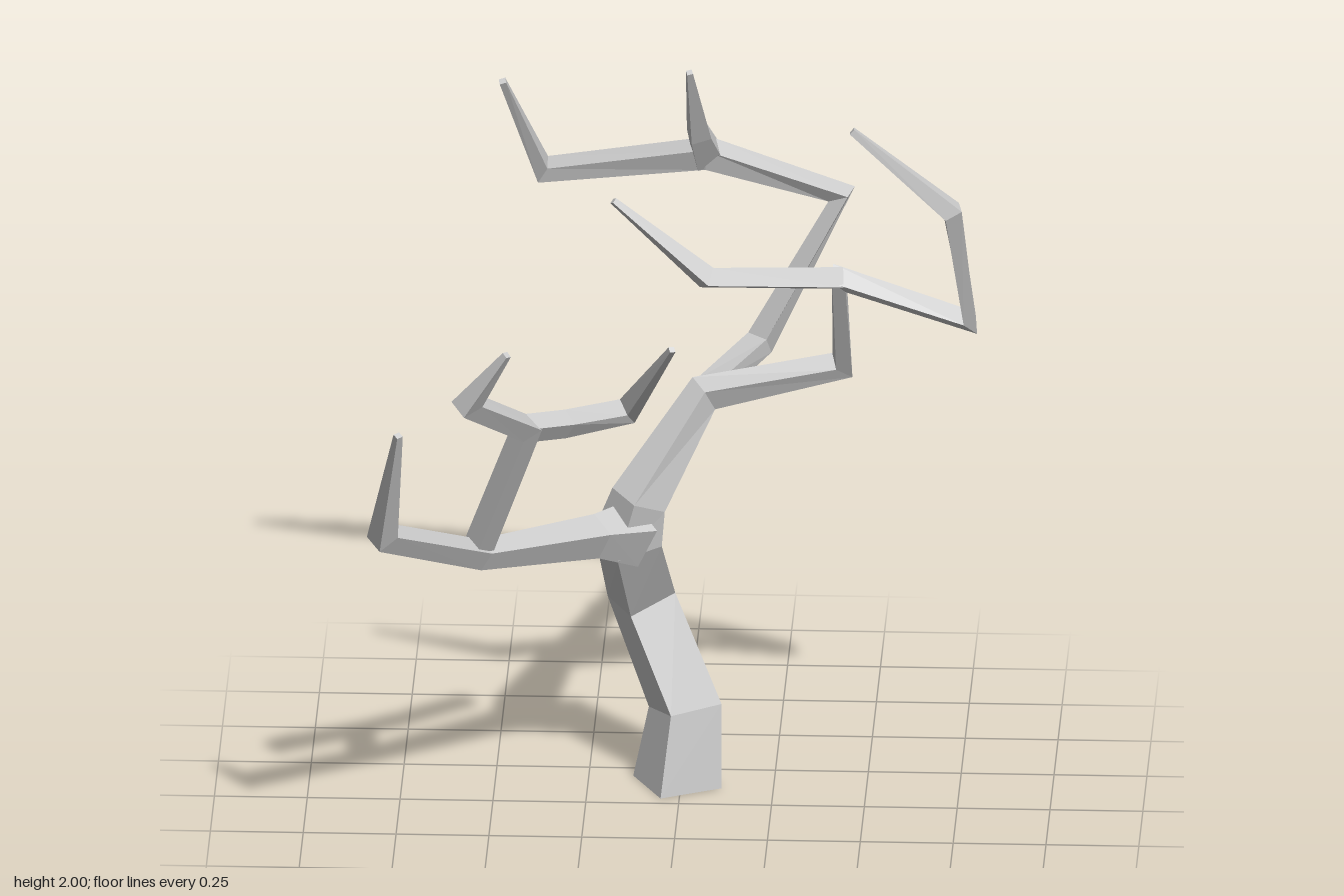
import * as THREE from 'three';

const material = new THREE.MeshStandardMaterial({ color: 0xcccccc, flatShading: true });
const V = (x, y, z) => new THREE.Vector3(x, y, z);

// Sweeps a tapering square along nodes [x, y, z, width].
// The frame {tangent, u} is carried from ring to ring so faces do not twist.
function sweep(nodes, frame) {
  const points = nodes.map(n => V(n[0], n[1], n[2]));
  const last = points.length - 1;
  const positions = [], index = [], frames = [];
  let { tangent, u } = frame;
  points.forEach((p, i) => {
    const before = i > 0 ? p.clone().sub(points[i - 1]).normalize() : V(0, 0, 0);
    const after = i < last ? points[i + 1].clone().sub(p).normalize() : V(0, 0, 0);
    const t = i === 0 && frame.fixed ? tangent.clone() : before.add(after).normalize();
    const turn = new THREE.Quaternion().setFromUnitVectors(tangent, t);
    u = u.clone().applyQuaternion(turn);
    tangent = t;
    frames.push({ tangent, u });
    const v = t.clone().cross(u), h = nodes[i][3] / 2;
    for (const [a, b] of [[h, h], [-h, h], [-h, -h], [h, -h]]) {
      positions.push(...p.clone().addScaledVector(u, a).addScaledVector(v, b).toArray());
    }
    if (i < last) {
      for (let k = 0; k < 4; k++) {
        const a = i * 4 + k, b = i * 4 + (k + 1) % 4;
        index.push(a, b, b + 4, a, b + 4, a + 4);
      }
    }
  });
  // end caps
  const e = last * 4;
  index.push(0, 2, 1, 0, 3, 2, e, e + 1, e + 2, e, e + 2, e + 3);
  const indexed = new THREE.BufferGeometry();
  indexed.setAttribute('position', new THREE.Float32BufferAttribute(positions, 3));
  indexed.setIndex(index);
  const geometry = indexed.toNonIndexed();
  geometry.computeVertexNormals();
  return { geometry, frames };
}

export function createModel() {
  const tree = new THREE.Group();
  tree.name = 'bareTree';

  // Adds one limb and returns the frame at each of its nodes, for forks.
  function limb(name, frame, nodes) {
    const { geometry, frames } = sweep(nodes, frame);
    const mesh = new THREE.Mesh(geometry, material);
    mesh.name = name;
    tree.add(mesh);
    return frames;
  }

  // Trunk, running on into the rising bough and its left arm
  const trunk = limb('trunkAndLeftBough',
    { tangent: V(0, 1, 0), u: V(0.894, 0, -0.447), fixed: true }, [
      [-0.01, 0, -0.155, 0.18],
      [0.01, 0.215, -0.175, 0.15],
      [-0.11, 0.515, -0.225, 0.14],
      [-0.14, 0.74, -0.07, 0.135],
      [-0.11, 0.86, -0.05, 0.11],
      [0.06, 1.12, -0.18, 0.075],
      [0.43, 1.18, -0.25, 0.06],
      [0.43, 1.51, -0.06, 0.06],
      [0.78, 1.38, -0.09, 0.058],
      [0.74, 1.76, 0.07, 0.05],
      [0.47, 1.99, 0.07, 0.018],
    ]);
  limb('leftInnerBranch', trunk[7], [
    [0.43, 1.51, -0.06, 0.055],
    [0.08, 1.57, 0.10, 0.052],
    [-0.17, 1.805, 0.14, 0.016],
  ]);

  // Back bough and its fork
  const back = limb('backBough', trunk[5], [
    [0.06, 1.12, -0.18, 0.06],
    [0.19, 1.075, -0.66, 0.06],
    [0.41, 1.51, -0.66, 0.06],
    [0.05, 1.63, -0.64, 0.065],
    [-0.40, 1.51, -0.80, 0.055],
    [-0.50, 1.85, -0.59, 0.018],
  ]);
  limb('backTwig', back[3], [
    [0.05, 1.62, -0.65, 0.075],
    [0.03, 1.71, -0.58, 0.055],
    [0.01, 1.945, -0.44, 0.016],
  ]);

  // Front right bough, leaving the trunk at its crown
  const front = limb('rightBough', trunk[3], [
    [-0.12, 0.76, -0.06, 0.13],
    [-0.22, 0.785, 0.03, 0.085],
    [-0.52, 0.84, 0.31, 0.06],
    [-0.77, 1.02, 0.64, 0.062],
    [-0.72, 1.385, 0.81, 0.018],
  ]);
  const riser = limb('rightRiser', front[2], [
    [-0.53, 0.85, 0.31, 0.06],
    [-0.39, 1.265, 0.45, 0.06],
    [-0.54, 1.43, 0.69, 0.06],
    [-0.43, 1.6, 0.75, 0.018],
  ]);
  limb('rightInnerBranch', riser[1], [
    [-0.40, 1.265, 0.45, 0.055],
    [-0.29, 1.24, 0.35, 0.055],
    [-0.13, 1.215, 0.19, 0.055],
    [0.0, 1.485, 0.41, 0.016],
  ]);

  return tree;
}
